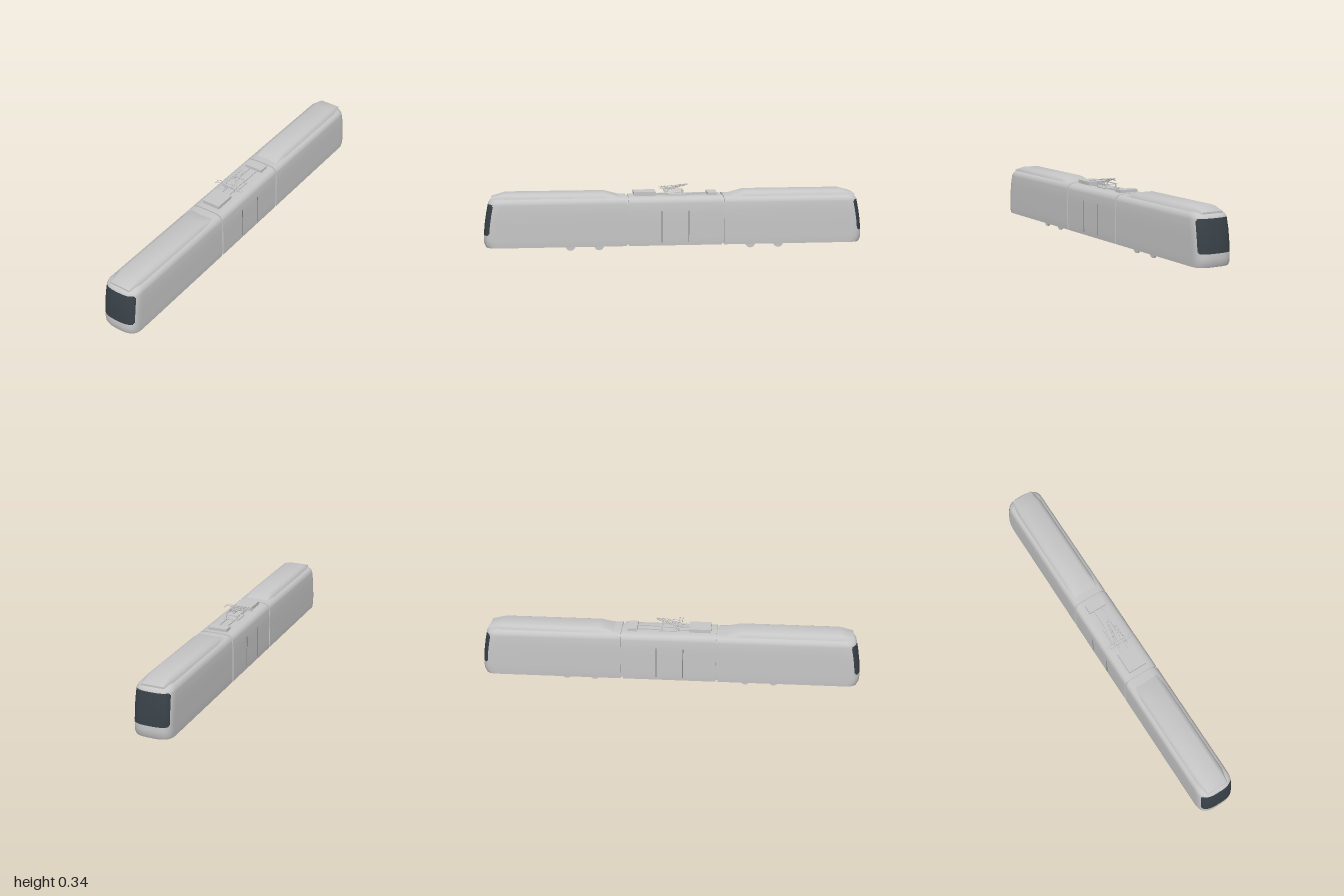
import * as THREE from 'three';
import { toCreasedNormals } from 'three/addons/utils/BufferGeometryUtils.js';

// Body profile rows: height, half width, nose position
const ROWS = [
  [0.025, 0, 0.95], [0.025, 0.097, 0.99], [0.042, 0.0982, 0.998], [0.065, 0.0985, 1],
  [0.09, 0.0985, 0.999], [0.093, 0.0985, 0.9988], [0.099, 0.0985, 0.9984], [0.15, 0.0985, 0.993],
  [0.2, 0.0982, 0.985], [0.243, 0.0962, 0.976], [0.249, 0.0955, 0.9745], [0.252, 0.095, 0.974],
  [0.262, 0.0915, 0.968], [0.271, 0.0845, 0.958], [0.277, 0.074, 0.946], [0.28, 0.05, 0.925], [0.281, 0, 0.9],
];
const GLASS_BOTTOM = 4, GLASS_TOP = 11;
const JOINT = 0.256;

const paint = new THREE.MeshStandardMaterial({ color: 0xc6c6c6 });
paint.name = 'bodyGrey';
const glass = new THREE.MeshStandardMaterial({ color: 0x394147 });
glass.name = 'windshieldDark';
const seam = new THREE.MeshStandardMaterial({ color: 0x858585 });
seam.name = 'seamGrey';

function add(parent, name, geometry, material = paint) {
  const mesh = new THREE.Mesh(geometry, material);
  mesh.name = name;
  parent.add(mesh);
  return mesh;
}

function box(parent, name, size, pos, material = paint) {
  const mesh = add(parent, name, new THREE.BoxGeometry(...size), material);
  mesh.position.set(...pos);
  return mesh;
}

// Round bar through a list of points
function bar(parent, name, points, radius = 0.0018) {
  const path = new THREE.CurvePath();
  const v = points.map((p) => new THREE.Vector3(...p));
  for (let i = 1; i < v.length; i++) path.add(new THREE.LineCurve3(v[i - 1], v[i]));
  return add(parent, name, new THREE.TubeGeometry(path, 6 * (v.length - 1), radius, 6));
}

// Skin from a grid of points; glassTest picks the cells of the second material
function skin(grid, glassTest = () => false) {
  const cols = grid[0].length;
  const cells = [[], []];
  for (let i = 0; i < grid.length - 1; i++) {
    for (let j = 0; j < cols - 1; j++) {
      const a = i * cols + j, b = a + 1, d = a + cols, c = d + 1;
      cells[glassTest(i, j) ? 1 : 0].push(a, d, b, d, c, b);
    }
  }
  const geo = new THREE.BufferGeometry();
  geo.setAttribute('position', new THREE.Float32BufferAttribute(grid.flat(2), 3));
  geo.setIndex([...cells[0], ...cells[1]]);
  geo.addGroup(0, cells[0].length, 0);
  geo.addGroup(cells[0].length, cells[1].length, 1);
  return toCreasedNormals(geo, 0.7);
}

// Plan outline at each height: straight sides and a blunt rounded nose
function cabGeometry() {
  const steps = 40, depth = 0.075;
  const grid = ROWS.map(([y, w, nose]) => {
    const line = [[w, y, JOINT + 0.004]];
    for (let k = 0; k <= steps; k++) {
      const t = (Math.PI * k) / steps;
      const c = Math.cos(t), s = Math.max(0, Math.sin(t));
      line.push([w * Math.sign(c) * Math.abs(c) ** (2 / 3), y, nose - depth + depth * s ** (2 / 3)]);
    }
    line.push([-w, y, JOINT + 0.004]);
    return line;
  });
  // Windshield cells, stepped in at the corners
  return skin(grid, (i, j) => {
    const fromEdge = Math.min(i - GLASS_BOTTOM, GLASS_TOP - 1 - i);
    if (fromEdge < 0) return false;
    const inset = 9 - Math.min(2, fromEdge);
    return j >= inset && j <= steps + 1 - inset;
  });
}

// Straight length of the body profile, optionally shrunk
function bodySlice(z0, z1, shrink = 0) {
  const right = ROWS.slice(1).map(([y, w]) => [Math.max(0, w - shrink), y < 0.1 ? y + shrink : y - shrink * Math.max(0, (y - 0.2) / 0.08)]);
  const left = right.slice(0, -1).reverse().map(([x, y]) => [-x, y]);
  const shape = new THREE.Shape([...right, ...left].map(([x, y]) => new THREE.Vector2(x, y)));
  const geo = new THREE.ExtrudeGeometry(shape, { depth: z1 - z0, bevelEnabled: false });
  geo.translate(0, 0, z0);
  return toCreasedNormals(geo, 0.7);
}

// Roof fairing lofted from nose to joint: z, base half width, top half width, top height
function fairingGeometry() {
  const sections = [[0.958, 0.06, 0.055, 0.28], [0.885, 0.076, 0.046, 0.302],
    [0.37, 0.076, 0.046, 0.302], [0.285, 0.072, 0.058, 0.277]];
  const grid = sections.map(([z, b, t, top]) => {
    const base = 0.271;
    const half = [[b, base], [b * 0.97, base + (top - base) * 0.3],
      [b * 0.55 + t * 0.45, base + (top - base) * 0.78], [t, top]];
    return [...half, ...half.slice().reverse().map(([x, y]) => [-x, y]), half[0]].map(([x, y]) => [x, y, z]);
  });
  const cap = (row) => row.map(() => [0, 0.272, row[0][2]]);
  return skin([cap(grid[0]), ...grid, cap(grid[3])]);
}

function endCar(name) {
  const car = new THREE.Group();
  car.name = name;
  add(car, 'cabBody', cabGeometry(), [paint, glass]);
  add(car, 'endBulkhead', bodySlice(JOINT, JOINT + 0.004));
  add(car, 'roofFairing', fairingGeometry());
  add(car, 'bellows', bodySlice(0.235, JOINT + 0.01, 0.007));
  // Wheels showing below the floor
  for (const z of [0.4, 0.55]) {
    for (const x of [-0.063, 0.063]) {
      const wheel = add(car, 'wheel', new THREE.CylinderGeometry(0.026, 0.026, 0.008, 28));
      wheel.rotation.z = Math.PI / 2;
      wheel.position.set(x, 0.026, z);
    }
  }
  return car;
}

function pantograph() {
  const g = new THREE.Group();
  g.name = 'pantograph';
  // Base frame on posts, with lower arm, upper arm and tie rod
  for (const s of [-1, 1]) {
    box(g, 'frameSide', [0.004, 0.004, 0.1], [s * 0.034, 0.303, 0.002]);
    for (const z of [-0.042, 0.046]) box(g, 'framePost', [0.005, 0.026, 0.005], [s * 0.03, 0.291, z]);
    bar(g, 'lowerArm', [[s * 0.03, 0.305, 0.045], [s * 0.007, 0.334, -0.068]]);
    bar(g, 'upperArm', [[s * 0.008, 0.335, -0.07], [s * 0.026, 0.318, 0.06]]);
    bar(g, 'tieRod', [[s * 0.012, 0.305, 0.04], [s * 0.004, 0.33, -0.06]], 0.0012);
  }
  for (const z of [-0.046, 0.05]) box(g, 'frameEnd', [0.07, 0.004, 0.004], [0, 0.303, z]);
  bar(g, 'kneeJoint', [[-0.01, 0.335, -0.07], [0.01, 0.335, -0.07]], 0.0025);
  // Collector strips with drooping horns
  for (const z of [0.045, 0.062]) {
    bar(g, 'collector', [[-0.082, 0.305, z], [-0.073, 0.314, z], [-0.06, 0.318, z],
      [0.06, 0.318, z], [0.073, 0.314, z], [0.082, 0.305, z]]);
  }
  for (const x of [-0.026, 0.026]) bar(g, 'collectorLink', [[x, 0.318, 0.045], [x, 0.318, 0.08]]);
  return g;
}

export function createModel() {
  const model = new THREE.Group();
  model.name = 'tram';

  const rear = endCar('rearCar');
  rear.rotation.y = Math.PI;

  // Middle car with door seams and roof equipment
  const middle = new THREE.Group();
  middle.name = 'middleCar';
  add(middle, 'middleBody', bodySlice(-0.245, 0.245));
  for (const s of [-1, 1]) {
    for (const z of [-0.068, 0.072]) box(middle, 'doorSeam', [0.002, 0.165, 0.005], [s * 0.0982, 0.125, z], seam);
    box(middle, 'roofRail', [0.005, 0.006, 0.4], [s * 0.022, 0.283, 0]);
  }
  box(middle, 'largeRoofUnit', [0.1, 0.018, 0.115], [0, 0.293, 0.158]);
  box(middle, 'largeUnitMount', [0.08, 0.008, 0.1], [0, 0.282, 0.158]);
  box(middle, 'smallRoofUnit', [0.1, 0.015, 0.05], [0, 0.288, -0.198]);
  box(middle, 'pantographBase', [0.08, 0.006, 0.09], [0, 0.282, -0.012]);
  middle.add(pantograph());

  model.add(endCar('frontCar'), middle, rear);
  return model;
}
